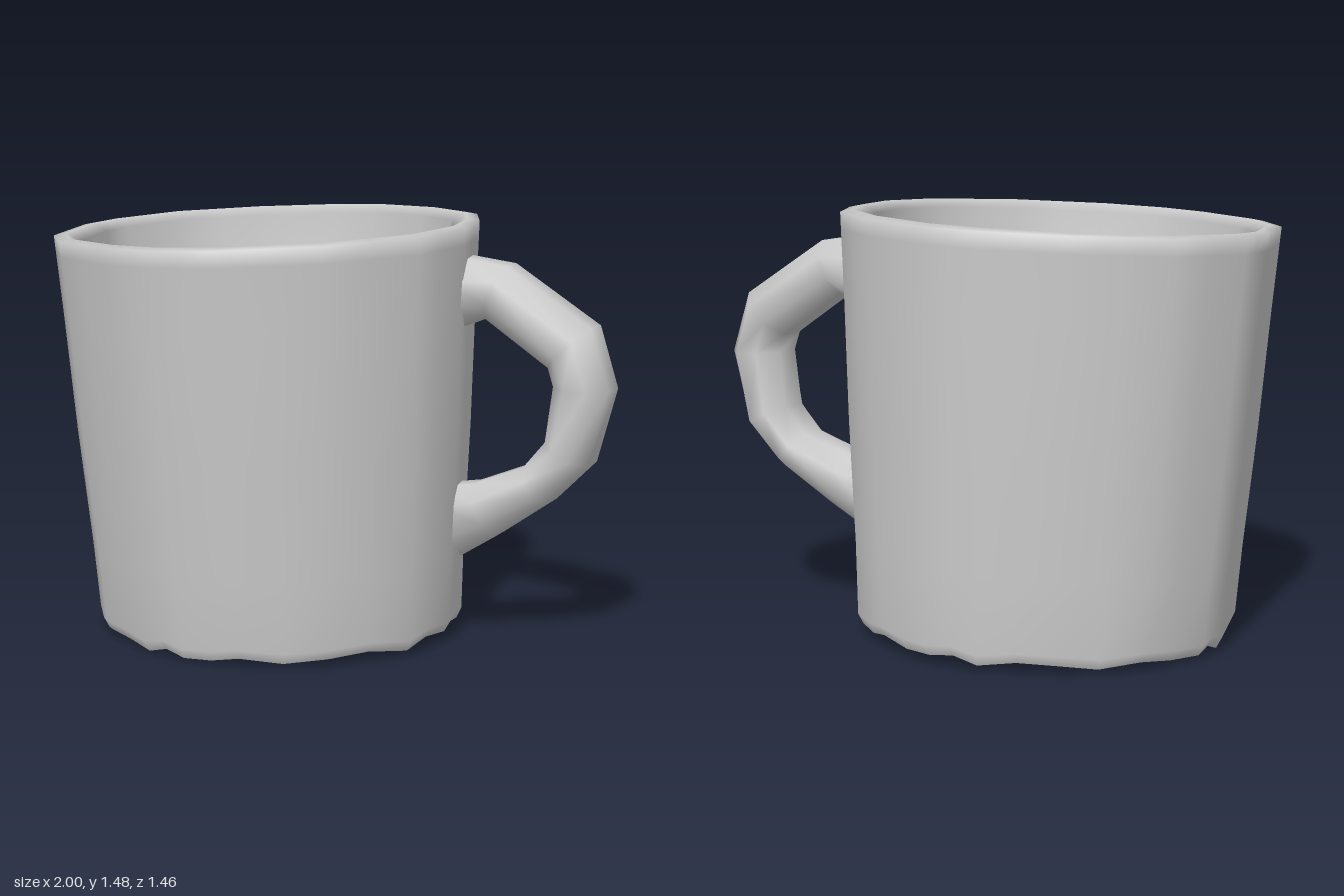
import * as THREE from 'three';

const material = new THREE.MeshStandardMaterial({ color: 0xcccccc, side: THREE.DoubleSide });

// Skins a list of closed rings (equal point counts) with smooth normals.
function loft(name, rings) {
  const n = rings[0].length;
  const index = [];
  for (let i = 0; i < rings.length - 1; i++) {
    for (let j = 0; j < n; j++) {
      const k = (j + 1) % n;
      const a = i * n + j, b = i * n + k, c = a + n, d = b + n;
      index.push(a, c, b, b, c, d);
    }
  }
  const geometry = new THREE.BufferGeometry();
  geometry.setAttribute('position', new THREE.Float32BufferAttribute(rings.flat(2), 3));
  geometry.setIndex(index);
  geometry.computeVertexNormals();
  const mesh = new THREE.Mesh(geometry, material);
  mesh.name = name;
  return mesh;
}

// Slightly uneven rim outline, seen from above as [x, z].
const corners = [
  [0.52, 0], [0.47, 0.27], [0.25, 0.55], [-0.07, 0.71], [-0.31, 0.73], [-0.5, 0.68],
  [-0.77, 0.53], [-0.91, 0.35], [-1, 0], [-0.99, -0.15], [-0.87, -0.43], [-0.6, -0.63],
  [-0.31, -0.73], [-0.1, -0.735], [0.17, -0.63], [0.37, -0.47], [0.47, -0.25],
];
// Midpoints give the ragged foot enough points.
const outline = corners.flatMap((p, i) => {
  const q = corners[(i + 1) % corners.length];
  return [p, [(p[0] + q[0]) / 2, (p[1] + q[1]) / 2]];
});

// Ring at height fraction t: the body narrows and leans back toward the foot.
function bodyRing(t, inset, lift = 0) {
  const ragged = 0.012 * Math.max(0, 1 - t * 6);
  return outline.map(([x, z], j) => {
    const scale = (0.87 + 0.13 * t) * inset;
    const top = 1.445 + 0.025 * (x + 0.245) / 0.75 - 0.015 * z / 0.73;
    const foot = 0.032 + ragged * Math.sin(j * 2.3) + 0.012 * x - 0.012 * z;
    return [
      -0.215 - 0.03 * t + (x + 0.245) * scale,
      foot + (top - foot) * t + lift,
      -0.045 * (1 - t) + z * scale,
    ];
  });
}

function createBody() {
  // Outer wall from the open foot upward, over the rounded rim, down to the raised floor.
  return loft('cupBody', [
    bodyRing(0, 0.975),
    bodyRing(0.025, 1),
    bodyRing(0.2, 0.995),
    bodyRing(0.5, 1),
    bodyRing(0.8, 0.995),
    bodyRing(0.96, 0.995),
    bodyRing(1, 0.995),
    bodyRing(1, 0.94, 0.008),
    bodyRing(1, 0.87, -0.02),
    bodyRing(0.215, 0.86),
    bodyRing(0.215, 0),
  ]);
}

function createHandle() {
  // Path stations: x, y, z, in-plane radius, sideways radius.
  const path = [
    [0.44, 1.24, -0.11, 0.13, 0.115],
    [0.6, 1.25, -0.12, 0.1, 0.115],
    [0.86, 1.07, -0.15, 0.105, 0.12],
    [0.9, 0.93, -0.16, 0.1, 0.12],
    [0.85, 0.7, -0.165, 0.085, 0.125],
    [0.74, 0.58, -0.16, 0.075, 0.125],
    [0.56, 0.48, -0.13, 0.1, 0.11],
    [0.43, 0.43, -0.12, 0.13, 0.08],
  ];
  const sides = 8;
  // Half-step turn puts flats on the top and sides of the section.
  const spread = 1 / Math.cos(Math.PI / sides);
  const rings = path.map(([x, y, z, r, w], i) => {
    const a = path[Math.max(i - 1, 0)], b = path[Math.min(i + 1, path.length - 1)];
    const length = Math.hypot(b[0] - a[0], b[1] - a[1]);
    const nx = -(b[1] - a[1]) / length, ny = (b[0] - a[0]) / length;
    return Array.from({ length: sides }, (_, j) => {
      const angle = ((j + 0.5) / sides) * Math.PI * 2;
      const u = Math.cos(angle) * r * spread;
      return [x + nx * u, y + ny * u, z - Math.sin(angle) * w * spread];
    });
  });
  return loft('handle', rings);
}

export function createModel() {
  const group = new THREE.Group();
  group.name = 'mug';
  group.add(createBody(), createHandle());
  return group;
}
